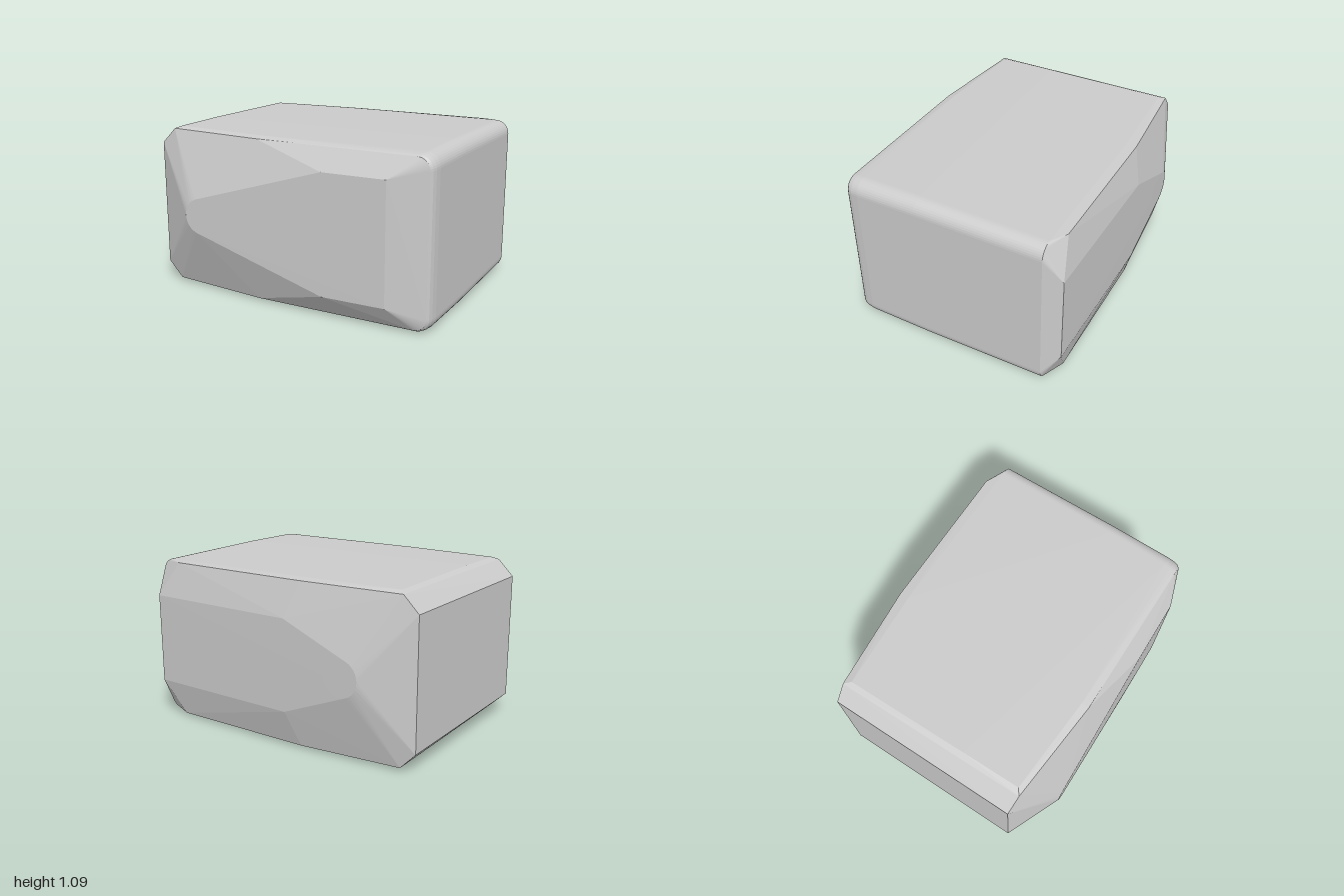
import * as THREE from 'three';
import { ConvexGeometry } from 'three/addons/geometries/ConvexGeometry.js';

const MID = 0.55; // height of the horizontal mirror plane

export function createModel() {
  const group = new THREE.Group();
  const points = [];

  // adds a point and its mirror across the middle height
  const add = (x, h, z) => {
    points.push(new THREE.Vector3(x, MID + h, z), new THREE.Vector3(x, MID - h, z));
  };

  // rounded long edges on the +x side: a quarter arc at each z station
  const roundedEnd = (xMax, half, z, r = 0.09) => {
    for (let i = 0; i <= 10; i++) {
      const a = (i / 10) * Math.PI / 2;
      add(xMax - r + r * Math.cos(a), half - r + r * Math.sin(a), z);
    }
  };
  roundedEnd(0.962, 0.525, 0.697, 0.08);
  roundedEnd(0.976, 0.533, 0.682, 0.085);
  roundedEnd(0.985, 0.538, 0.655);
  roundedEnd(0.99, 0.541, 0.61);
  roundedEnd(0.995, 0.545, 0.2);
  roundedEnd(1.0, 0.536, -0.65);

  // round raised pads on the front and back faces
  const pad = (x, z, slope) => {
    for (let i = 0; i < 32; i++) {
      const a = (i / 32) * Math.PI * 2;
      const dx = 0.12 * Math.cos(a);
      points.push(new THREE.Vector3(x + dx, MID + 0.12 * Math.sin(a), z + slope * dx));
    }
  };
  pad(-0.565, 0.8, -0.015);
  pad(-0.54, -0.802, 0.02);

  // front plate and upper / lower front edges
  add(0.31, 0.39, 0.785);
  add(0.73, 0.39, 0.779);
  add(-0.2, 0.527, 0.69);
  add(-0.2, 0.54, 0.64);

  // back plate, corner cut and upper / lower back edges
  add(-0.12, 0.3, -0.791);
  add(0.95, 0.3, -0.765);
  add(0.8, 0.53, -0.715);
  add(-0.2, 0.53, -0.725);
  add(-0.2, 0.54, -0.66);

  // chamfered -x end
  add(-1.0, 0.42, 0.61);
  add(-0.985, 0.42, -0.67);
  add(-0.89, 0.525, 0.62);
  add(-0.885, 0.525, -0.675);
  add(-0.85, 0.541, 0.59);
  add(-0.85, 0.545, 0.2);
  add(-0.85, 0.539, -0.63);

  const body = new THREE.Mesh(
    new ConvexGeometry(points),
    new THREE.MeshStandardMaterial({ color: 0xcccccc, flatShading: true })
  );
  body.name = 'facetedBlock';
  group.add(body);
  return group;
}
